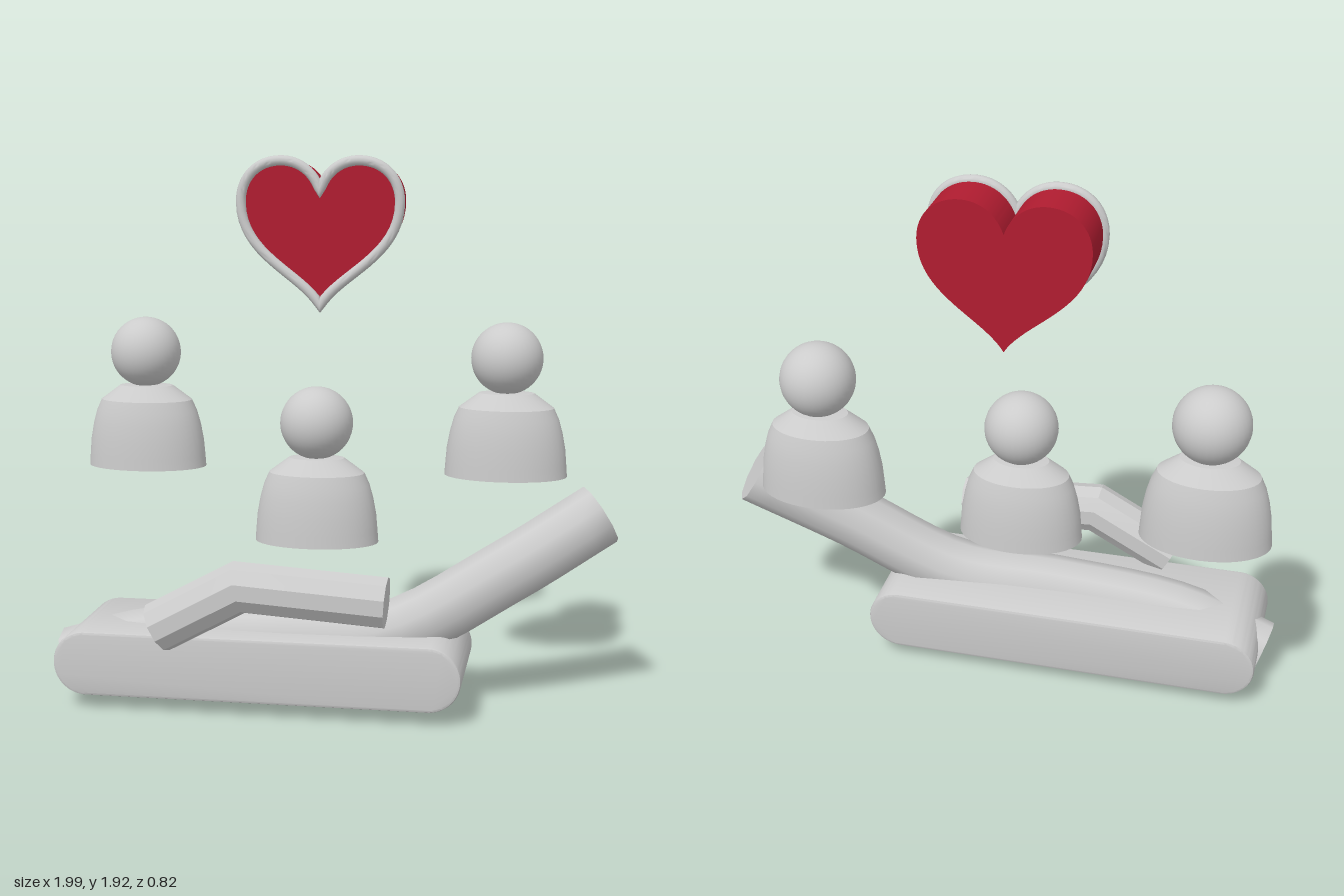
import * as THREE from 'three';
import { toCreasedNormals } from 'three/addons/utils/BufferGeometryUtils.js';

const grey = new THREE.MeshStandardMaterial({ color: 0xcccccc });
const red = new THREE.MeshStandardMaterial({ color: 0xb01c30 });
const V = (x, y, z) => new THREE.Vector3(x, y, z);

function add(parent, name, geometry, material = grey) {
  const mesh = new THREE.Mesh(geometry, material);
  mesh.name = name;
  parent.add(mesh);
  return mesh;
}

// Sweeps a regular polygon along points, with mitred corners; capped unless closed
function sweep(points, radius, sides, crease, closed = false) {
  const n = points.length, pos = [], index = [];
  const at = (i) => points[closed ? (i + n) % n : Math.min(Math.max(i, 0), n - 1)];
  points.forEach((p, i) => {
    const before = at(i).clone().sub(at(i - 1)).normalize();
    const after = at(i + 1).clone().sub(at(i)).normalize();
    const t = before.clone().add(after).normalize();
    const inner = before.lengthSq() && after.lengthSq();
    const mitre = inner ? Math.min(1 / Math.max(t.dot(after), 0.1), 1.5) : 1;
    const b = V(0, 0, 1).addScaledVector(t, -t.z).normalize();
    const up = b.clone().cross(t);
    for (let j = 0; j < sides; j++) {
      const a = (j / sides) * Math.PI * 2;
      const q = p.clone().addScaledVector(up, Math.cos(a) * radius * mitre)
        .addScaledVector(b, Math.sin(a) * radius);
      pos.push(q.x, q.y, q.z);
    }
  });
  for (let i = 0; i < (closed ? n : n - 1); i++) {
    for (let j = 0; j < sides; j++) {
      const k = (j + 1) % sides, r0 = i * sides, r1 = ((i + 1) % n) * sides;
      index.push(r0 + j, r0 + k, r1 + j, r0 + k, r1 + k, r1 + j);
    }
  }
  if (!closed) {
    const last = (n - 1) * sides;
    for (let j = 1; j < sides - 1; j++) {
      index.push(0, j + 1, j, last, last + j, last + j + 1);
    }
  }
  const g = new THREE.BufferGeometry();
  g.setAttribute('position', new THREE.Float32BufferAttribute(pos, 3));
  g.setIndex(index);
  return toCreasedNormals(g, crease);
}

// Bust: oval body with sloping shoulders, round head
function person(name, x, y, z) {
  const g = new THREE.Group();
  g.name = name;
  const profile = [[0, 0], [0.223, 0], [0.22, 0.04], [0.215, 0.1], [0.204, 0.16], [0.19, 0.21],
    [0.172, 0.25], [0.1, 0.303], [0, 0.31]].map(([r, h]) => new THREE.Vector2(r, h));
  const body = add(g, 'body', toCreasedNormals(new THREE.LatheGeometry(profile, 40), 0.38));
  body.scale.z = 0.65;
  add(g, 'head', new THREE.SphereGeometry(0.13, 32, 24)).position.y = 0.428;
  g.position.set(x, y, z);
  return g;
}

function heartShape() {
  const s = new THREE.Shape();
  s.moveTo(0, 1.81);
  s.bezierCurveTo(0.02, 1.87, 0.07, 1.915, 0.14, 1.915);
  s.bezierCurveTo(0.225, 1.915, 0.285, 1.855, 0.285, 1.77);
  s.bezierCurveTo(0.285, 1.58, 0.07, 1.52, 0, 1.405);
  s.bezierCurveTo(-0.07, 1.52, -0.285, 1.58, -0.285, 1.77);
  s.bezierCurveTo(-0.285, 1.855, -0.225, 1.915, -0.14, 1.915);
  s.bezierCurveTo(-0.07, 1.915, -0.02, 1.87, 0, 1.81);
  return s;
}

export function createModel() {
  const model = new THREE.Group();
  model.name = 'heartAndPeople';

  // Base: slab with round ends and a slight bevel
  const bevel = 0.01, r = 0.115 - bevel;
  const stadium = new THREE.Shape();
  stadium.absarc(0.36, 0.175, r, -Math.PI / 2, Math.PI / 2, false);
  stadium.absarc(-0.845, 0.175, r, Math.PI / 2, Math.PI * 1.5, false);
  const slab = new THREE.ExtrudeGeometry(stadium, {
    depth: 0.47 - 2 * bevel, bevelSize: bevel, bevelThickness: bevel, bevelSegments: 2, curveSegments: 20,
  });
  add(model, 'base', toCreasedNormals(slab, 0.6)).position.z = -0.16 + bevel;

  // Long arm lying in the base and rising to the model's left
  const armPath = new THREE.CatmullRomCurve3([
    V(-0.965, 0.118, 0.06), V(-0.65, 0.215, 0.09), V(-0.2, 0.245, 0.11), V(0.2, 0.275, 0.09),
    V(0.6, 0.49, 0.025), V(0.925, 0.69, -0.075),
  ]);
  add(model, 'longArm', sweep(armPath.getPoints(24), 0.114, 10, 0.7));

  // Short bent arm in front
  add(model, 'shortArm', sweep(
    [V(-0.575, 0.323, 0.323), V(-0.285, 0.48, 0.323), V(0.222, 0.446, 0.323)], 0.089, 10, 0.45));

  // Three people
  model.add(person('rightPerson', -0.765, 0.782, -0.27));
  model.add(person('leftPerson', 0.58, 0.782, -0.27));
  model.add(person('middlePerson', -0.08, 0.565, -0.05));

  // Heart with a raised rim on its front
  const heart = new THREE.Group();
  heart.name = 'heart';
  heart.position.x = -0.08;
  const shape = heartShape();
  const block = new THREE.ExtrudeGeometry(shape, { depth: 0.165, bevelEnabled: false, curveSegments: 20 });
  add(heart, 'heartBlock', toCreasedNormals(block, 0.6), red).position.z = -0.305;
  const outline = shape.getPoints(16).slice(0, -1).map((p) => V(p.x, p.y, -0.124));
  add(heart, 'heartRim', sweep(outline, 0.018, 12, 0.7, true));
  model.add(heart);

  return model;
}
